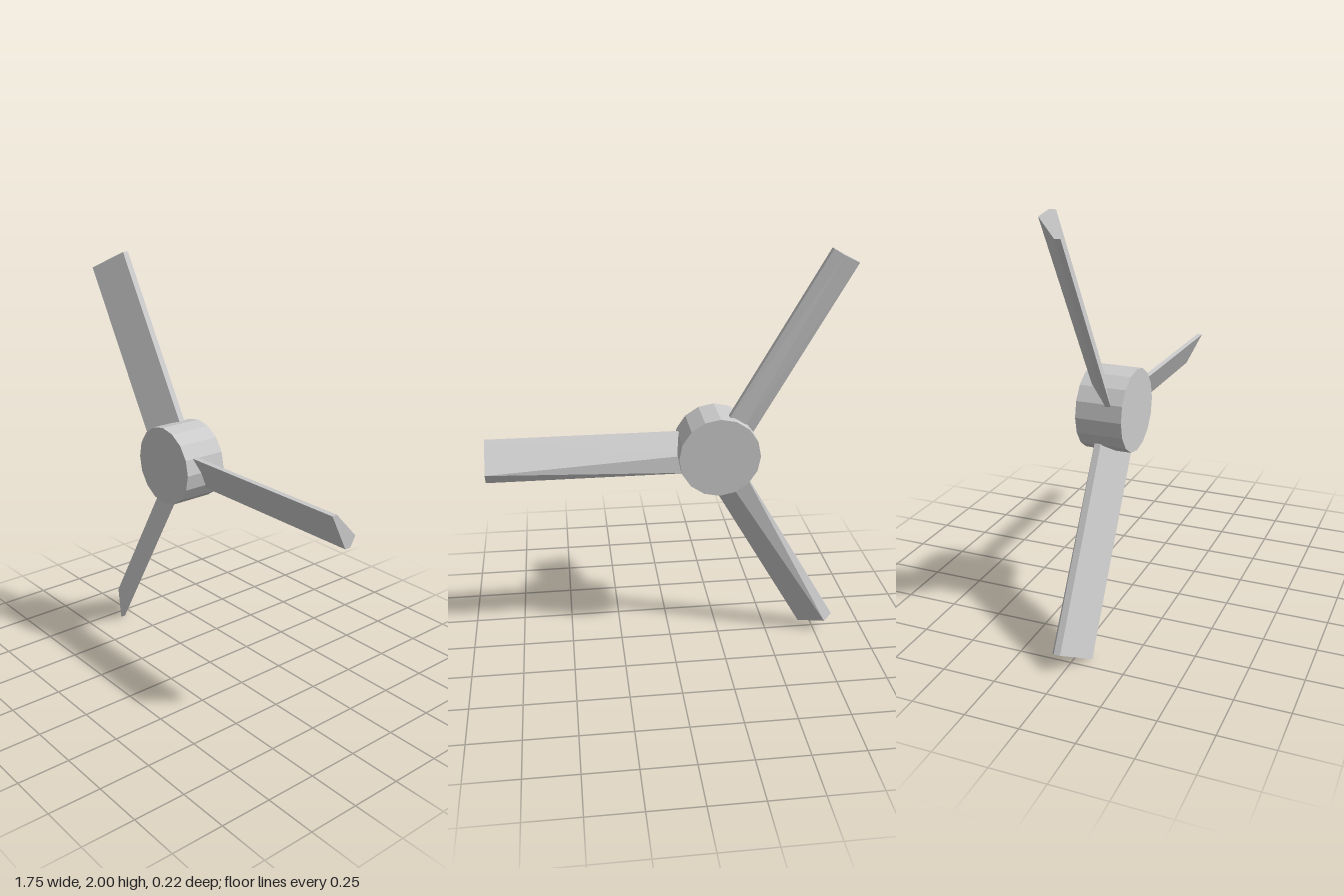
import * as THREE from 'three';

const material = new THREE.MeshStandardMaterial({ color: 0xcccccc, flatShading: true });

// Pitched blade section as [across, z]; the spine (index 3) shifts from root to tip.
const section = (spine) => [[0.085, 0.067], [-0.087, -0.02], [-0.087, -0.05], spine, [0.087, 0.042]];

// Lofted blade running along x, with its tip at x = 0
function bladeGeometry(length) {
  const loops = [
    section([0.004, -0.042]).map(([y, z]) => [-length, y, z]),
    section([-0.038, -0.077]).map(([y, z]) => [0, y, z]),
  ];
  const [root, tip] = loops;
  const n = root.length;
  const positions = [];
  const triangle = (a, b, c) => positions.push(...a, ...b, ...c);
  for (let i = 0; i < n; i++) {
    const j = (i + 1) % n;
    triangle(root[i], root[j], tip[j]);
    triangle(root[i], tip[j], tip[i]);
  }
  // End caps
  for (let i = 1; i < n - 1; i++) {
    triangle(tip[0], tip[i], tip[i + 1]);
    triangle(root[0], root[i + 1], root[i]);
  }
  const geometry = new THREE.BufferGeometry();
  geometry.setAttribute('position', new THREE.Float32BufferAttribute(positions, 3));
  geometry.computeVertexNormals();
  return geometry;
}

export function createModel() {
  const propeller = new THREE.Group();
  propeller.name = 'propeller';

  // Faceted hub drum, axis along z
  const hub = new THREE.Mesh(new THREE.CylinderGeometry(0.195, 0.195, 0.22, 16).rotateX(Math.PI / 2), material);
  hub.name = 'hub';
  hub.position.set(-0.225, 1.036, 0);
  propeller.add(hub);

  // Three blades, each placed by its tip centre
  const geometry = bladeGeometry(1.0);
  const tips = [[0.875, 1.028, 0], [-0.8, 1.957, -0.011], [-0.765, 0.046, 0.011]];
  tips.forEach((tip, i) => {
    const blade = new THREE.Mesh(geometry, material);
    blade.name = `blade${i + 1}`;
    blade.position.set(...tip);
    blade.rotation.z = (i * Math.PI * 2) / 3;
    propeller.add(blade);
  });

  return propeller;
}
